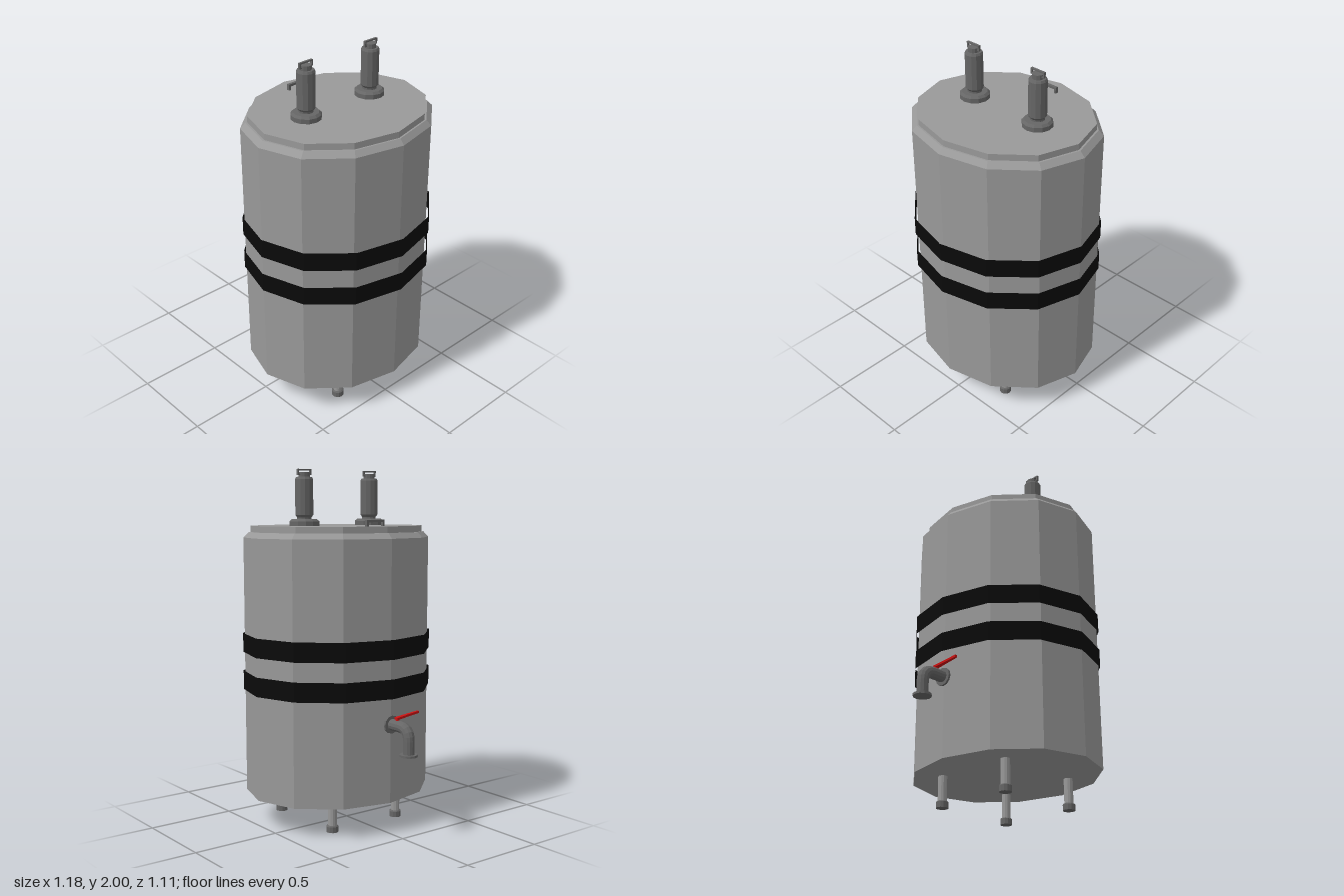
import * as THREE from 'three';

const mat = (name, color, extra = {}) => {
  const m = new THREE.MeshStandardMaterial({ color, flatShading: true, ...extra });
  m.name = name;
  return m;
};

export function createModel() {
  const steel = mat('light steel', 0x999999);
  const dark = mat('dark steel', 0x666666);
  const black = mat('black strap', 0x0a0a0a, { side: THREE.DoubleSide });
  const red = mat('red lever', 0xcc1111);

  const model = new THREE.Group();
  model.name = 'storageTank';
  const CX = 0.085; // tank axis

  const add = (parent, name, geo, material, x = 0, y = 0, z = 0) => {
    const mesh = new THREE.Mesh(geo, material);
    mesh.name = name;
    mesh.position.set(x, y, z);
    parent.add(mesh);
    return mesh;
  };
  const lathe = (pts, sides = 12) =>
    new THREE.LatheGeometry(pts.map(([r, y]) => new THREE.Vector2(r, y)), sides);
  const box = (w, h, d) => new THREE.BoxGeometry(w, h, d);

  // Twelve-sided oval tank with bevelled shoulder and raised lid
  const body = lathe([[0, 0.175], [1, 0.175], [1, 1.625], [0.945, 1.655], [0, 1.655]]);
  add(model, 'tankBody', body.scale(0.478, 1, 0.553), steel, CX);
  const lid = lathe([[0.925, 1.65], [0.925, 1.69], [0, 1.69]]);
  add(model, 'tankLid', lid.scale(0.478, 1, 0.553), steel, CX);

  // Loose straps around the middle
  for (const y of [0.817, 1.032]) {
    const band = new THREE.CylinderGeometry(1, 1, 0.108, 12, 1, true);
    add(model, 'strap', band.scale(0.503, 1, 0.557), black, CX, y);
  }

  // Legs with feet
  for (const x of [-0.167, 0.335]) for (const z of [-0.23, 0.23]) {
    const leg = new THREE.Group();
    leg.name = 'leg';
    leg.position.set(x, 0, z);
    add(leg, 'legPost', new THREE.CylinderGeometry(0.025, 0.025, 0.15, 12), steel, 0, 0.105);
    add(leg, 'foot', lathe([[0, 0], [0.034, 0], [0.034, 0.032], [0.028, 0.038], [0, 0.038]]), dark);
    model.add(leg);
  }

  // Relief valves on the lid, each with a pull loop
  for (const z of [-0.23, 0.23]) {
    const valve = new THREE.Group();
    valve.name = 'reliefValve';
    valve.position.set(CX, 0, z);
    add(valve, 'valveBody', lathe([
      [0.083, 1.69], [0.083, 1.715], [0.07, 1.727], [0.04, 1.727], [0.04, 1.737],
      [0.05, 1.75], [0.05, 1.945], [0.044, 1.957], [0.032, 1.957], [0.032, 1.982], [0, 1.982],
    ]), dark);
    add(valve, 'pullLoopTop', box(0.013, 0.008, 0.09), dark, 0, 1.996);
    for (const s of [-1, 1])
      add(valve, 'pullLoopSide', box(0.013, 0.028, 0.008), dark, 0, 1.982, s * 0.041);
    add(valve, 'pullLoopBase', box(0.013, 0.007, 0.09), dark, 0, 1.971);
    model.add(valve);
  }

  // Lid handle
  const handle = new THREE.Group();
  handle.name = 'lidHandle';
  handle.position.x = -0.25;
  add(handle, 'grip', box(0.017, 0.013, 0.124), dark, 0, 1.718);
  for (const s of [-1, 1])
    add(handle, 'gripPost', box(0.017, 0.03, 0.013), dark, 0, 1.7, s * 0.0555);
  model.add(handle);

  // Drain tap: wall flange, bent pipe, outlet flange
  const tap = new THREE.Group();
  tap.name = 'drainTap';
  const v = (x, y) => new THREE.Vector3(x, y, 0);
  const path = new THREE.CurvePath();
  path.add(new THREE.LineCurve3(v(-0.385, 0.62), v(-0.48, 0.62)));
  path.add(new THREE.QuadraticBezierCurve3(v(-0.48, 0.62), v(-0.543, 0.62), v(-0.543, 0.555)));
  path.add(new THREE.LineCurve3(v(-0.543, 0.555), v(-0.543, 0.475)));
  add(tap, 'pipe', new THREE.TubeGeometry(path, 14, 0.032, 12), dark);
  const flange = () => new THREE.CylinderGeometry(0.05, 0.05, 0.012, 12);
  add(tap, 'wallFlange', flange().rotateZ(Math.PI / 2), dark, -0.4, 0.62);
  add(tap, 'outletFlange', flange(), dark, -0.543, 0.476);

  // Red lever, rising and tapering towards its tip
  add(tap, 'leverStem', new THREE.CylinderGeometry(0.01, 0.01, 0.025, 10), red, -0.45, 0.655);
  const lever = box(0.026, 0.012, 0.16).translate(0, 0, 0.068);
  const p = lever.attributes.position;
  for (let i = 0; i < p.count; i++) {
    const t = (p.getZ(i) + 0.012) / 0.16;
    p.setX(i, p.getX(i) * (1 - 0.45 * t));
    p.setY(i, p.getY(i) + 0.018 * t);
  }
  lever.computeVertexNormals();
  add(tap, 'lever', lever, red, -0.45, 0.662);
  model.add(tap);

  return model;
}
